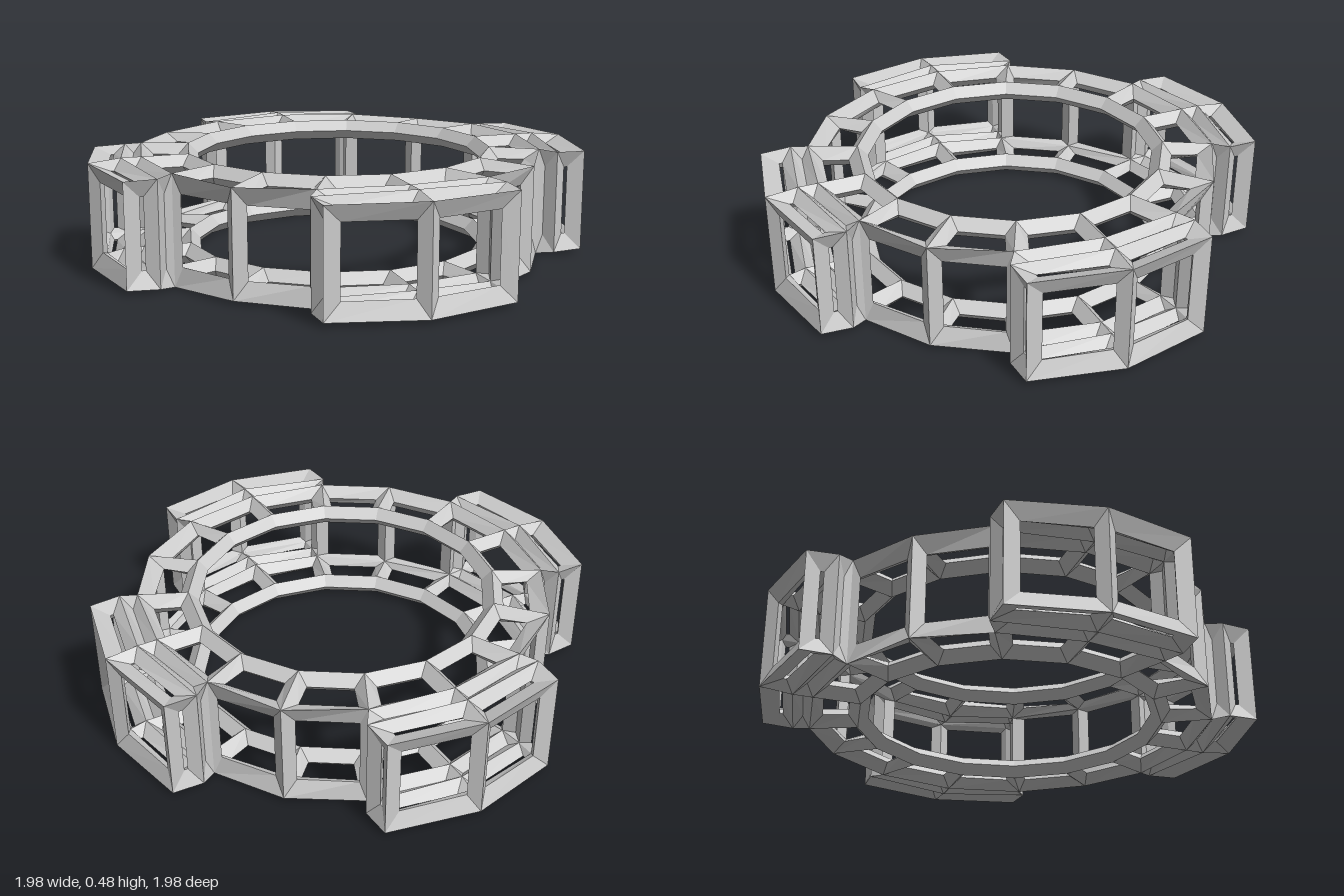
import * as THREE from 'three';

const T = 0.045;              // half thickness of every strut
const Y0 = 0.045, Y1 = 0.435; // strut centre heights
const RI = 0.665, RO = 0.868; // ring inner and outer radius
const N = 16;

const radial = (k, r, y) => {
  const a = (k * Math.PI * 2) / N;
  return new THREE.Vector3(r * Math.sin(a), y, r * Math.cos(a));
};

// Loops of the cage: inner, outer, first bay step, second bay step
const loops = [
  (k, y) => radial(k, RI, y),
  (k, y) => radial(k, RO, y),
  (k, y) => radial(k, RO + 0.085, y),
  (k, y) => {
    const bayMiddle = Math.floor((k % N) / 4) * 4 + 2;
    return radial(k, RO + 0.085, y).add(radial(bayMiddle, 0.105, 0));
  },
];

// Quads of the cage, sorted by part; corners run counter-clockwise from outside
function cageFaces() {
  const faces = [];
  const add = (part, ...pts) => faces.push({ part, pts });
  for (let k = 0; k < N; k++) {
    const bay = k % 4 === 1 || k % 4 === 2;
    const last = bay ? 3 : 1;
    const n = k + 1;
    for (let l = 0; l < last; l++) {
      const a = loops[l], b = loops[l + 1];
      add(l ? 'bayTopFrames' : 'topRing', a(k, Y1), b(k, Y1), b(n, Y1), a(n, Y1));
      add(l ? 'bayBottomFrames' : 'bottomRing', a(n, Y0), b(n, Y0), b(k, Y0), a(k, Y0));
      // end walls of the bays
      if (l && k % 4 === 1) add('bayEndFrames', a(k, Y0), b(k, Y0), b(k, Y1), a(k, Y1));
      if (l && k % 4 === 2) add('bayEndFrames', a(n, Y1), b(n, Y1), b(n, Y0), a(n, Y0));
    }
    const w = loops[last];
    add(bay ? 'bayWindowFrames' : 'ringWindowFrames', w(k, Y0), w(n, Y0), w(n, Y1), w(k, Y1));
  }
  return faces;
}

const key = (p) => p.toArray().map((v) => Math.round(v * 1e4)).join(',');

// Turns every cage edge into a strut with a diamond section
function strutTriangles(faces) {
  const normals = new Map(), edges = new Set(), parts = {};
  for (const f of faces) {
    f.inset = [];
    f.pts.forEach((p, i) => {
      const next = f.pts[(i + 1) % 4], prev = f.pts[(i + 3) % 4];
      const e1 = next.clone().sub(p).normalize();
      const e2 = prev.clone().sub(p).normalize();
      const angle = e1.angleTo(e2);
      f.inset.push(p.clone().addScaledVector(e1.clone().add(e2), T / Math.sin(angle)));
      const id = key(p);
      if (!normals.has(id)) normals.set(id, new THREE.Vector3());
      normals.get(id).addScaledVector(e1.cross(e2).normalize(), angle);
      edges.add(id + '|' + key(next));
    });
  }
  normals.forEach((n) => n.normalize());
  const offset = (p, d) => p.clone().addScaledVector(normals.get(key(p)), d);
  const rim = (p) => new THREE.Vector3(p.x * (1 - T / RI), p.y, p.z * (1 - T / RI));

  for (const { part, pts, inset } of faces) {
    const out = (parts[part] ??= []);
    const quad = (a, b, c, d) => [a, b, c, a, c, d].forEach((p) => out.push(p));
    for (let i = 0; i < 4; i++) {
      const j = (i + 1) % 4, p = pts[i], q = pts[j];
      quad(offset(p, T), offset(q, T), inset[j], inset[i]);
      quad(offset(q, -T), offset(p, -T), inset[i], inset[j]);
      // open inner edge: close the diamond towards the centre
      if (!edges.has(key(q) + '|' + key(p))) {
        quad(offset(q, T), offset(p, T), rim(p), rim(q));
        quad(offset(p, -T), offset(q, -T), rim(q), rim(p));
      }
    }
  }
  return parts;
}

export function createModel() {
  const group = new THREE.Group();
  group.name = 'ringFrame';
  const material = new THREE.MeshStandardMaterial({
    color: 0xcccccc, flatShading: true, side: THREE.DoubleSide,
  });
  const parts = strutTriangles(cageFaces());
  for (const [name, points] of Object.entries(parts)) {
    const geometry = new THREE.BufferGeometry().setFromPoints(points);
    geometry.computeVertexNormals();
    const mesh = new THREE.Mesh(geometry, material);
    mesh.name = name;
    group.add(mesh);
  }
  return group;
}
